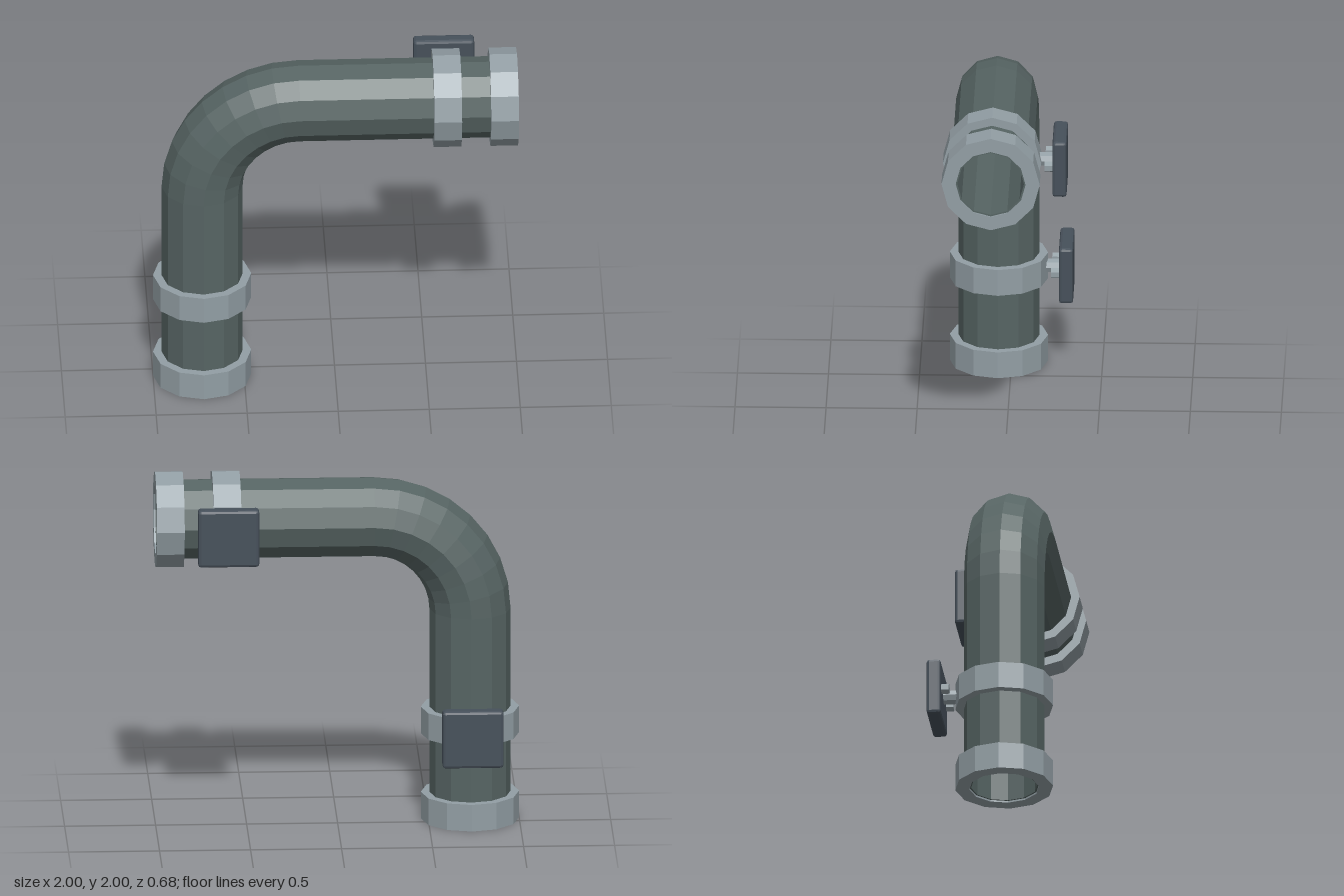
import * as THREE from 'three';
import { RoundedBoxGeometry } from 'three/addons/geometries/RoundedBoxGeometry.js';

const SIDES = 12;
const AXIS_X = -0.73, AXIS_Y = 1.73, AXIS_Z = 0.07; // centre lines of the two pipe legs
const BEND = 0.53, BEND_STEPS = 8;

const material = (color) => new THREE.MeshStandardMaterial({ color, flatShading: true });
const pipeMaterial = material(0x566463);
const collarMaterial = material(0x929ea4);
const plateMaterial = material(0x46505a);

function addMesh(parent, name, geometry, mat, x = 0, y = 0, z = 0) {
  const mesh = new THREE.Mesh(geometry, mat);
  mesh.name = name;
  mesh.position.set(x, y, z);
  parent.add(mesh);
  return mesh;
}

// Hollow pipe: rings swept up, round the bend and along +x, then back inside
function pipeGeometry(outer, inner) {
  const path = [{ x: AXIS_X, y: 0.01, a: 0 }];
  for (let i = 0; i <= BEND_STEPS; i++) {
    const a = (i / BEND_STEPS) * Math.PI / 2;
    path.push({
      x: AXIS_X + BEND - BEND * Math.cos(a),
      y: AXIS_Y - BEND + BEND * Math.sin(a),
      a,
    });
  }
  path.push({ x: 0.99, y: AXIS_Y, a: Math.PI / 2 });

  const rings = [
    ...path.map((p) => ({ ...p, r: outer })),
    ...path.slice().reverse().map((p) => ({ ...p, r: inner })),
  ];
  const positions = [], index = [];
  rings.forEach(({ x, y, a, r }, i) => {
    const next = (i + 1) % rings.length;
    for (let j = 0; j < SIDES; j++) {
      const t = (j / SIDES) * Math.PI * 2;
      const out = r * Math.cos(t);
      positions.push(x - out * Math.cos(a), y + out * Math.sin(a), AXIS_Z + r * Math.sin(t));
      const k = (j + 1) % SIDES;
      const p = i * SIDES + j, q = i * SIDES + k;
      const s = next * SIDES + k, u = next * SIDES + j;
      index.push(p, q, s, p, s, u);
    }
  });
  const geometry = new THREE.BufferGeometry();
  geometry.setAttribute('position', new THREE.Float32BufferAttribute(positions, 3));
  geometry.setIndex(index);
  geometry.computeVertexNormals();
  return geometry;
}

// Square-section ring standing on its own origin
function collarGeometry(length, outer, inner) {
  const profile = [[inner, 0], [outer, 0], [outer, length], [inner, length], [inner, 0]];
  return new THREE.LatheGeometry(profile.map(([r, y]) => new THREE.Vector2(r, y)), SIDES);
}

// Wall plate with its stem and two bolts, reaching back from a collar
function createBracket(name, x, y) {
  const bracket = new THREE.Group();
  bracket.name = name;
  bracket.position.set(x, y, 0);
  addMesh(bracket, 'wallPlate', new RoundedBoxGeometry(0.335, 0.325, 0.078, 1, 0.016),
    plateMaterial, 0, 0, -0.302);
  const stem = addMesh(bracket, 'stem', new THREE.CylinderGeometry(0.04, 0.04, 0.1, 8),
    collarMaterial, 0, 0, -0.22);
  stem.rotation.x = Math.PI / 2;
  for (const side of [-1, 1]) {
    const bolt = addMesh(bracket, side > 0 ? 'leftBolt' : 'rightBolt',
      new THREE.CylinderGeometry(0.03, 0.03, 0.05, 6), collarMaterial, side * 0.115, 0, -0.245);
    bolt.rotation.x = Math.PI / 2;
  }
  return bracket;
}

export function createModel() {
  const model = new THREE.Group();
  model.name = 'elbowPipe';

  addMesh(model, 'pipe', pipeGeometry(0.223, 0.183), pipeMaterial);

  // Collars on the upright leg
  const collar = collarGeometry(0.152, 0.27, 0.192);
  addMesh(model, 'lowerEndCollar', collar, collarMaterial, AXIS_X, 0, AXIS_Z);
  addMesh(model, 'lowerClampCollar', collar, collarMaterial, AXIS_X, 0.487, AXIS_Z);

  // Collars on the level leg
  for (const [name, x] of [['upperClampCollar', 0.536], ['upperEndCollar', 0.848]]) {
    addMesh(model, name, collar, collarMaterial, x, AXIS_Y, AXIS_Z).rotation.z = -Math.PI / 2;
  }

  model.add(createBracket('lowerBracket', AXIS_X, 0.563));
  model.add(createBracket('upperBracket', 0.612, AXIS_Y));
  return model;
}
